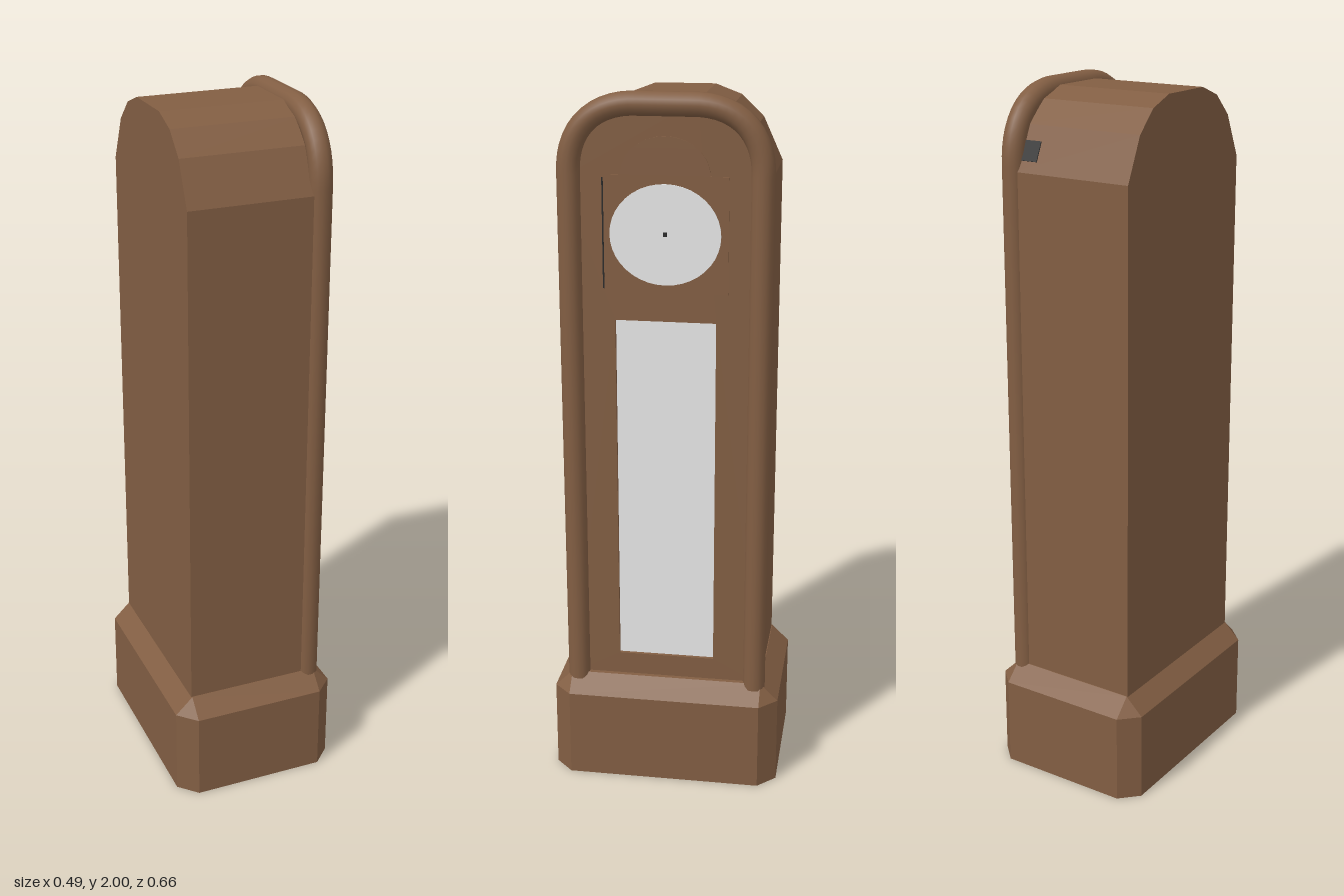
import * as THREE from 'three';
import { ConvexGeometry } from 'three/addons/geometries/ConvexGeometry.js';

const wood = new THREE.MeshStandardMaterial({ color: 0x825e43 });
wood.name = 'wood';
const white = new THREE.MeshStandardMaterial({ color: 0xececec });
white.name = 'white';
const dark = new THREE.MeshStandardMaterial({ color: 0x2a2a2a });
dark.name = 'dark metal';

// Outline from right-hand points [x, y], mirrored to the left
function mirroredShape(pts) {
  const left = pts.filter(p => p[0] > 0).map(([x, y]) => [-x, y]).reverse();
  return new THREE.Shape([...pts, ...left].map(([x, y]) => new THREE.Vector2(x, y)));
}

function rectPath(w, y0, y1) {
  return new THREE.Path([[-w, y0], [-w, y1], [w, y1], [w, y0]].map(p => new THREE.Vector2(...p)));
}

// Clock is built facing +z and then turned to face +x
export function createModel() {
  const model = new THREE.Group();
  model.name = 'longcaseClock';
  const clock = new THREE.Group();
  clock.name = 'clock';
  clock.rotation.y = Math.PI / 2;
  model.add(clock);

  const add = (name, geometry, material, x = 0, y = 0, z = 0) => {
    const mesh = new THREE.Mesh(geometry, material);
    mesh.name = name;
    mesh.position.set(x, y, z);
    clock.add(mesh);
    return mesh;
  };
  const extrude = (shape, depth) =>
    new THREE.ExtrudeGeometry(shape, { depth, bevelEnabled: false, curveSegments: 16 });

  // Plinth with chamfered corners and sloping top
  const corners = [];
  for (const sx of [-1, 1]) for (const sz of [-1, 1]) {
    for (const y of [0, 0.26]) {
      corners.push(new THREE.Vector3(sx * 0.33, y, sz * 0.193));
      corners.push(new THREE.Vector3(sx * 0.279, y, sz * 0.244));
    }
    corners.push(new THREE.Vector3(sx * 0.279, 0.31, sz * 0.193));
  }
  add('plinth', new ConvexGeometry(corners), wood);

  // Case with faceted arched roof, and a front board pierced for the window
  const outline = [[0.277, 0.3], [0.277, 1.77], [0.222, 1.89], [0.16, 1.95], [0.085, 1.978]];
  add('case', extrude(mirroredShape(outline), 0.36), wood, 0, 0, -0.195);
  const frontShape = mirroredShape(outline);
  frontShape.holes.push(rectPath(0.138, 0.375, 1.387));
  add('frontBoard', extrude(frontShape, 0.015), wood, 0, 0, 0.165);
  add('window', new THREE.BoxGeometry(0.276, 1.012, 0.004), white, 0, 0.881, 0.168);

  // Rounded moulding framing the front
  const v = (x, y) => new THREE.Vector3(x, y, 0.18);
  const path = new THREE.CurvePath();
  path.add(new THREE.LineCurve3(v(0.259, 0.295), v(0.259, 1.79)));
  path.add(new THREE.CubicBezierCurve3(v(0.259, 1.79), v(0.259, 1.91), v(0.18, 1.968), v(0.08, 1.968)));
  path.add(new THREE.LineCurve3(v(0.08, 1.968), v(-0.08, 1.968)));
  path.add(new THREE.CubicBezierCurve3(v(-0.08, 1.968), v(-0.18, 1.968), v(-0.259, 1.91), v(-0.259, 1.79)));
  path.add(new THREE.LineCurve3(v(-0.259, 1.79), v(-0.259, 0.295)));
  add('moulding', new THREE.TubeGeometry(path, 160, 0.032, 14), wood);

  // Dial panel with a rounded crest
  const panel = new THREE.Shape();
  panel.moveTo(-0.17, 1.468);
  panel.lineTo(0.17, 1.468);
  panel.lineTo(0.17, 1.783);
  panel.lineTo(0.12, 1.783);
  panel.absellipse(0, 1.783, 0.12, 0.102, 0, Math.PI, false, 0);
  panel.lineTo(-0.17, 1.783);
  panel.closePath();
  add('dialPanel', extrude(panel, 0.003), wood, 0, 0, 0.18);

  // Dial, centre pin and the narrow gap beside the panel
  const dial = add('dial', new THREE.CylinderGeometry(1, 1, 0.003, 40), white, 0, 1.625, 0.1845);
  dial.rotation.x = Math.PI / 2;
  dial.scale.set(0.15, 1, 0.136);
  add('centrePin', new THREE.BoxGeometry(0.01, 0.012, 0.002), dark, 0, 1.627, 0.187);
  add('panelGap', new THREE.BoxGeometry(0.004, 0.3, 0.002), dark, -0.168, 1.625, 0.183);

  // Small dark plate on the roof slope behind the moulding
  const plate = add('roofPlate', new THREE.BoxGeometry(0.004, 0.056, 0.055), dark, 0.2525, 1.825, 0.1275);
  plate.rotation.z = Math.atan2(0.055, 0.12);
  return model;
}
